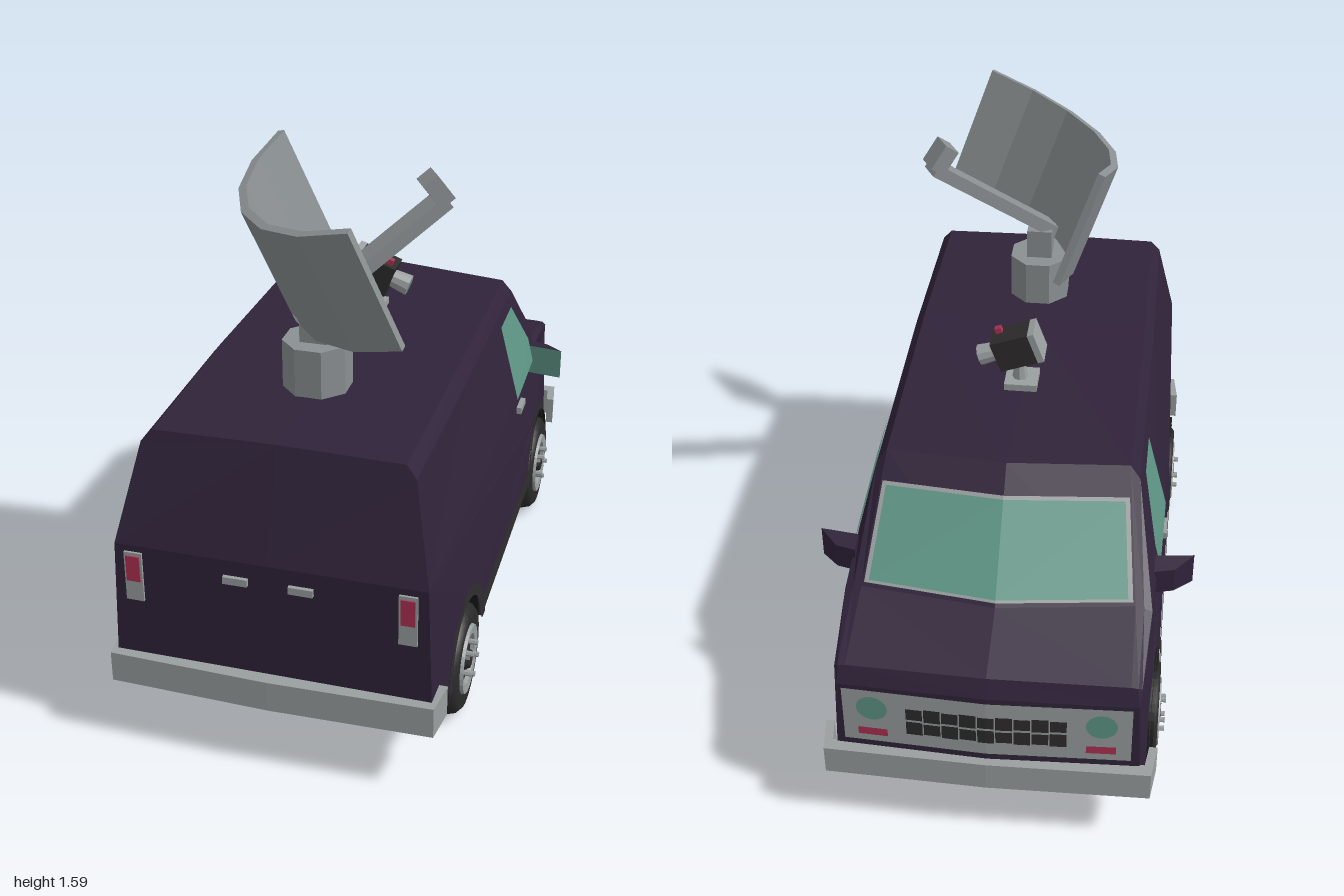
import * as THREE from 'three';

const mat = (name, color, flatShading = true) =>
  new THREE.MeshStandardMaterial({ name, color, flatShading, side: THREE.DoubleSide });

export function createModel() {
  const M = {
    paint: mat('plum paint', 0x30233a), chrome: mat('light grey trim', 0x9a9fa0),
    dish: mat('dish grey', 0x8b9092), rubber: mat('tyre rubber', 0x2b2b2b, false),
    trim: mat('dark trim', 0x2e2c2d), black: mat('underside black', 0x1a1a1a),
    glass: mat('teal glass', 0x5f9686), red: mat('red lamp', 0xae3152),
  };
  const root = new THREE.Group();
  root.name = 'satelliteVan';
  const add = (name, geo, m, parent = root) => {
    const mesh = new THREE.Mesh(geo, m);
    mesh.name = name;
    parent.add(mesh);
    return mesh;
  };
  const box = (name, m, w, h, d, x, y, z, parent) =>
    add(name, new THREE.BoxGeometry(w, h, d).translate(x, y, z), m, parent);
  // flat faces from corner loops, each fanned into triangles
  const faces = (loops) => {
    const p = [];
    for (const l of loops)
      for (let i = 1; i < l.length - 1; i++) p.push(...l[0], ...l[i], ...l[i + 1]);
    const g = new THREE.BufferGeometry();
    g.setAttribute('position', new THREE.Float32BufferAttribute(p, 3));
    g.computeVertexNormals();
    return g;
  };
  const flip = (loop) => loop.map(([x, y, z]) => [-x, y, z]).reverse();
  const mirrored = (loops) => faces([...loops, ...loops.map(flip)]);
  const mix = (a, b, t) => a.map((v, i) => v + (b[i] - v) * t);

  // half width of the body at a given z and height
  const plan = [[0.96, 0.462], [0.3, 0.478], [-0.42, 0.474], [-0.69, 0.462], [-0.93, 0.446], [-0.955, 0.44]];
  const halfWidth = (z, y) => {
    let i = 0;
    while (i < plan.length - 2 && z < plan[i + 1][0]) i++;
    const [z0, w0] = plan[i], [z1, w1] = plan[i + 1];
    return w0 + (w1 - w0) * (z - z0) / (z1 - z0) - 0.04 * (y - 0.19);
  };
  const FLOOR = 0.19, AXLE_Y = 0.17, ARCH = 0.195, axles = [0.58, -0.62];

  // upper body: belt, shoulder, roof edge and centre line at stations from rear to front
  const beltY = [0.65, 0.65, 0.65, 0.645, 0.575, 0.53];
  const upper = [
    [[0.385, 0.93, 0.87], [0.355, 0.965, 0.86], [0, 0.97, 0.86]],
    [[0.39, 0.93, 0.3], [0.36, 0.968, 0.3], [0, 0.972, 0.3]],
    [[0.385, 0.915, -0.43], [0.355, 0.955, -0.42], [0, 0.965, -0.46]],
    [[0.42, 0.655, -0.69], [0.395, 0.66, -0.69], [0, 0.665, -0.745]],
    [[0.42, 0.583, -0.935], [0.40, 0.585, -0.935], [0, 0.59, -0.95]],
    [[0.42, 0.53, -0.956], [0.40, 0.53, -0.957], [0, 0.535, -0.975]],
  ].map((row, i) => [[halfWidth(plan[i][0], beltY[i]), beltY[i], plan[i][0]], ...row]);
  const shell = [];
  for (let r = 0; r < upper.length - 1; r++)
    for (let c = 0; c < 3; c++)
      shell.push([upper[r][c], upper[r][c + 1], upper[r + 1][c + 1], upper[r + 1][c]]);
  const rearBelt = upper[0][0], nose = upper[5];
  shell.push([[0, 0.65, 0.96], ...[...upper[0]].slice(0, 4)]);
  shell.push([[0, FLOOR, 0.96], [halfWidth(0.96, FLOOR), FLOOR, 0.96], rearBelt, [0, 0.65, 0.96]]);
  shell.push([[0, FLOOR, -0.975], nose[3], nose[2], nose[1], nose[0], [halfWidth(-0.955, FLOOR), FLOOR, -0.955]]);
  add('bodyShell', mirrored(shell), M.paint);

  // lower sides with wheel openings
  const side = new THREE.Shape();
  plan.forEach(([z], i) => (i ? side.lineTo(z, beltY[i]) : side.moveTo(z, beltY[i])));
  side.lineTo(-0.955, FLOOR);
  const a0 = Math.asin((FLOOR - AXLE_Y) / ARCH);
  for (const z of [...axles].reverse()) side.absarc(z, AXLE_Y, ARCH, Math.PI - a0, a0, true);
  side.lineTo(0.96, FLOOR);
  // shape (z, y) bent onto the body side
  const onSide = (shape, s, off, seg = 16) => {
    const g = new THREE.ShapeGeometry(shape, seg), p = g.attributes.position;
    for (let i = 0; i < p.count; i++) {
      const z = p.getX(i), y = p.getY(i);
      p.setXYZ(i, s * (halfWidth(z, y) - Math.max(0, y - 0.65) * 0.225 + off), y, z);
    }
    if (s > 0) g.setIndex([...g.index.array].reverse());
    g.computeVertexNormals();
    return g;
  };
  const poly = (pts) => new THREE.Shape(pts.map(([a, b]) => new THREE.Vector2(a, b)));
  const rect = (z0, z1, y0, y1) => poly([[z0, y0], [z1, y0], [z1, y1], [z0, y1]]);

  // wheel parts: lathe profiles around the axle
  const tyre = [[0.09, -0.062], [0.145, -0.068], [0.162, -0.052], [0.17, -0.025],
    [0.17, 0.025], [0.162, 0.052], [0.145, 0.068], [0.09, 0.062]].map((p) => new THREE.Vector2(...p));
  const rim = [[0.072, 0.05], [0.076, 0.07], [0.102, 0.073], [0.106, 0.06]].map((p) => new THREE.Vector2(...p));
  for (const s of [1, -1]) {
    const n = s > 0 ? 'left' : 'right';
    add(n + 'LowerSide', onSide(side, s, 0), M.paint);
    add(n + 'Rocker', onSide(rect(-0.44, 0.4, FLOOR, 0.245), s, 0.004), M.trim);
    add(n + 'Window', onSide(poly([[-0.19, 0.64], [-0.19, 0.89], [-0.36, 0.89], [-0.49, 0.72], [-0.49, 0.64]]), s, 0.006), M.glass);
    box(n + 'DoorHandle', M.chrome, 0.016, 0.022, 0.075, s * 0.465, 0.588, -0.25);

    // mirror housing with its glass facing the rear
    const q = [[0.44, 0.59, -0.50], [0.555, 0.59, -0.485], [0.555, 0.69, -0.485], [0.44, 0.69, -0.50]];
    const f = [[0.44, 0.60, -0.56], [0.50, 0.60, -0.545], [0.50, 0.68, -0.545], [0.44, 0.68, -0.56]];
    const housing = [f, ...q.map((p, i) => [p, q[(i + 1) % 4], f[(i + 1) % 4], f[i]])];
    const m = (l) => (s > 0 ? l : flip(l));
    add(n + 'MirrorHousing', faces(housing.map(m)), M.paint);
    add(n + 'MirrorGlass', faces([m(q)]), M.glass);

    axles.forEach((z, k) => {
      const w = n + (k ? 'Front' : 'Rear');
      // arch lip and well lining
      const lip = new THREE.Shape();
      lip.absarc(z, AXLE_Y, 0.224, 0.09, Math.PI - 0.09, false);
      lip.absarc(z, AXLE_Y, 0.188, Math.PI - 0.1, 0.1, true);
      add(w + 'ArchLip', onSide(lip, s, 0.007), M.trim);
      const well = new THREE.CylinderGeometry(ARCH, ARCH, 0.17, 24, 1, true, 0, Math.PI)
        .rotateZ(Math.PI / 2).translate(s * 0.385, AXLE_Y, z);
      add(w + 'WheelWell', well, M.black);
      add(w + 'WellWall', new THREE.CircleGeometry(ARCH, 24, 0, Math.PI)
        .rotateY(Math.PI / 2).translate(s * 0.3, AXLE_Y, z), M.black);

      const wheel = new THREE.Group();
      wheel.name = w + 'Wheel';
      wheel.position.set(s * 0.413, AXLE_Y, z);
      wheel.rotation.z = -s * Math.PI / 2;
      root.add(wheel);
      add('tyre', new THREE.LatheGeometry(tyre, 32), M.rubber, wheel);
      add('hub', new THREE.CylinderGeometry(0.09, 0.09, 0.115, 24), M.trim, wheel);
      for (const o of [1, -1]) {
        add('rim', new THREE.LatheGeometry(rim, 28).scale(1, o, 1), M.chrome, wheel);
        add('hubCap', new THREE.CylinderGeometry(0.026, 0.034, 0.02, 12).translate(0, o * 0.066, 0), M.trim, wheel);
        for (let i = 0; i < 5; i++) {
          const a = i * Math.PI * 0.4;
          add('wheelNut', new THREE.CylinderGeometry(0.008, 0.008, 0.032, 6)
            .translate(Math.cos(a) * 0.051, o * 0.073, Math.sin(a) * 0.051), M.chrome, wheel);
        }
      }
    });
  }

  // underside, notched around the wheels
  const under = [];
  const cuts = [0.96, 0.775, 0.385, -0.425, -0.815, -0.96];
  for (let i = 0; i < 5; i++) {
    const w = (z) => (i % 2 ? 0.3 : halfWidth(z, FLOOR));
    under.push([[0, FLOOR, cuts[i]], [0, FLOOR, cuts[i + 1]], [w(cuts[i + 1]), FLOOR, cuts[i + 1]], [w(cuts[i]), FLOOR, cuts[i]]]);
  }
  add('underside', mirrored(under), M.black);

  // windscreen and its frame, laid on the sloped panel
  const screen = (s1, t0, t1, off) => {
    const at = (s, t) => mix(mix(upper[2][3], upper[3][3], t), mix(upper[2][2], upper[3][2], t), s)
      .map((v, i) => v + [0, off, -off][i]);
    return mirrored([[at(0, t0), at(0, t1), at(s1, t1), at(s1, t0)]]);
  };
  add('windscreenFrame', screen(0.985, 0.23, 0.97, 0.003), M.chrome);
  add('windscreen', screen(0.95, 0.26, 0.95, 0.006), M.glass);

  // bumpers: shallow V bars with wrapped ends
  for (const s of [1, -1]) {
    const b = poly([[0, 1.0], [0.47, 0.988], [0.484, 0.88], [0.46, 0.88], [0.45, 0.95], [0, 0.955],
      [-0.45, 0.95], [-0.46, 0.88], [-0.484, 0.88], [-0.47, 0.988]].map(([x, z]) => [x, -s * z]));
    add(s > 0 ? 'rearBumper' : 'frontBumper', new THREE.ExtrudeGeometry(b, { depth: 0.095, bevelEnabled: false })
      .rotateX(-Math.PI / 2).translate(0, 0.2, 0), M.chrome);
  }

  // nose details laid on the slightly pointed front
  const onNose = (name, geo, m, x, y, off) => {
    geo.rotateY(Math.PI).translate(x, y, 0);
    const p = geo.attributes.position;
    for (let i = 0; i < p.count; i++) p.setZ(i, -0.975 + 0.045 * Math.abs(p.getX(i)) - off);
    add(name, geo, m);
  };
  onNose('grillePanel', new THREE.PlaneGeometry(0.82, 0.2, 2, 1), M.chrome, 0, 0.42, 0.004);
  for (let i = -4; i <= 4; i++)
    for (const r of [0, 1])
      onNose('grilleSlot', new THREE.PlaneGeometry(0.047, 0.05 - 0.008 * ((i + r) & 1), 2, 1), M.trim,
        i * 0.051, 0.393 + r * 0.054, 0.008);
  for (const s of [1, -1]) {
    onNose('headlight', new THREE.CircleGeometry(0.045, 16), M.glass, s * 0.325, 0.455, 0.008);
    onNose('indicator', new THREE.PlaneGeometry(0.085, 0.028), M.red, s * 0.325, 0.362, 0.008);
    // rear lamps and door handles
    box('tailLampFrame', M.chrome, 0.052, 0.155, 0.008, s * 0.39, 0.553, 0.963);
    box('tailLamp', M.red, 0.04, 0.08, 0.008, s * 0.39, 0.58, 0.967);
    box('rearDoorHandle', M.chrome, 0.07, 0.022, 0.014, s * 0.093, 0.592, 0.965);
  }

  // dish pedestal
  add('dishPedestal', new THREE.CylinderGeometry(0.1, 0.1, 0.16, 8).rotateY(Math.PI / 8).translate(0, 1.035, 0.49), M.dish);
  box('dishNeck', M.dish, 0.08, 0.12, 0.08, 0, 1.15, 0.49);

  // dish: curved trough, turned and leaned back; local +z is where it points
  const dish = new THREE.Group();
  dish.name = 'dish';
  dish.position.set(-0.055, 1.17, 0.515);
  dish.rotation.set(-0.4, Math.PI * 2 / 3, 0, 'YXZ');
  root.add(dish);
  const R = 0.533, arc = 0.91, N = 6, band = [];
  for (let i = 0; i <= N; i++) {
    const a = -arc + 2 * arc * i / N;
    band.push([Math.sin(a) * R, R - Math.cos(a) * R]);
  }
  for (let i = N; i >= 0; i--) {
    const a = -arc + 2 * arc * i / N;
    band.push([Math.sin(a) * (R - 0.024), R - Math.cos(a) * (R - 0.024)]);
  }
  add('reflector', new THREE.ExtrudeGeometry(poly(band.map(([x, z]) => [x, -z])), { depth: 0.365, bevelEnabled: false })
    .rotateX(-Math.PI / 2), M.dish, dish);

  // feed arm with a receiver at its tip
  const arm = new THREE.Group();
  arm.name = 'feedArm';
  arm.position.set(-0.05, 1.18, 0.52);
  arm.lookAt(0.32, 1.5, 0.31);
  root.add(arm);
  box('armBar', M.dish, 0.075, 0.04, 0.53, 0, 0, 0.265, arm);
  box('receiver', M.dish, 0.075, 0.085, 0.05, 0, 0.04, 0.525, arm);

  // roof camera
  box('cameraBase', M.chrome, 0.1, 0.022, 0.1, 0.0, 0.981, -0.058);
  add('cameraStem', new THREE.CylinderGeometry(0.014, 0.026, 0.08, 8).translate(0.005, 1.02, -0.058), M.chrome);
  const cam = new THREE.Group();
  cam.name = 'roofCamera';
  cam.position.set(0.02, 1.1, -0.058);
  cam.rotation.z = -0.35;
  root.add(cam);
  box('cameraBody', M.trim, 0.12, 0.1, 0.09, 0, 0, 0, cam);
  box('cameraBack', M.chrome, 0.02, 0.1, 0.094, -0.07, 0, 0, cam);
  add('lensBarrel', new THREE.CylinderGeometry(0.033, 0.028, 0.06, 10).rotateZ(-Math.PI / 2).translate(0.085, 0, 0), M.chrome, cam);
  add('lens', new THREE.CircleGeometry(0.026, 10).rotateY(Math.PI / 2).translate(0.117, 0, 0), M.glass, cam);
  box('recordLamp', M.red, 0.02, 0.022, 0.02, 0.035, 0.056, 0.02, cam);
  return root;
}
